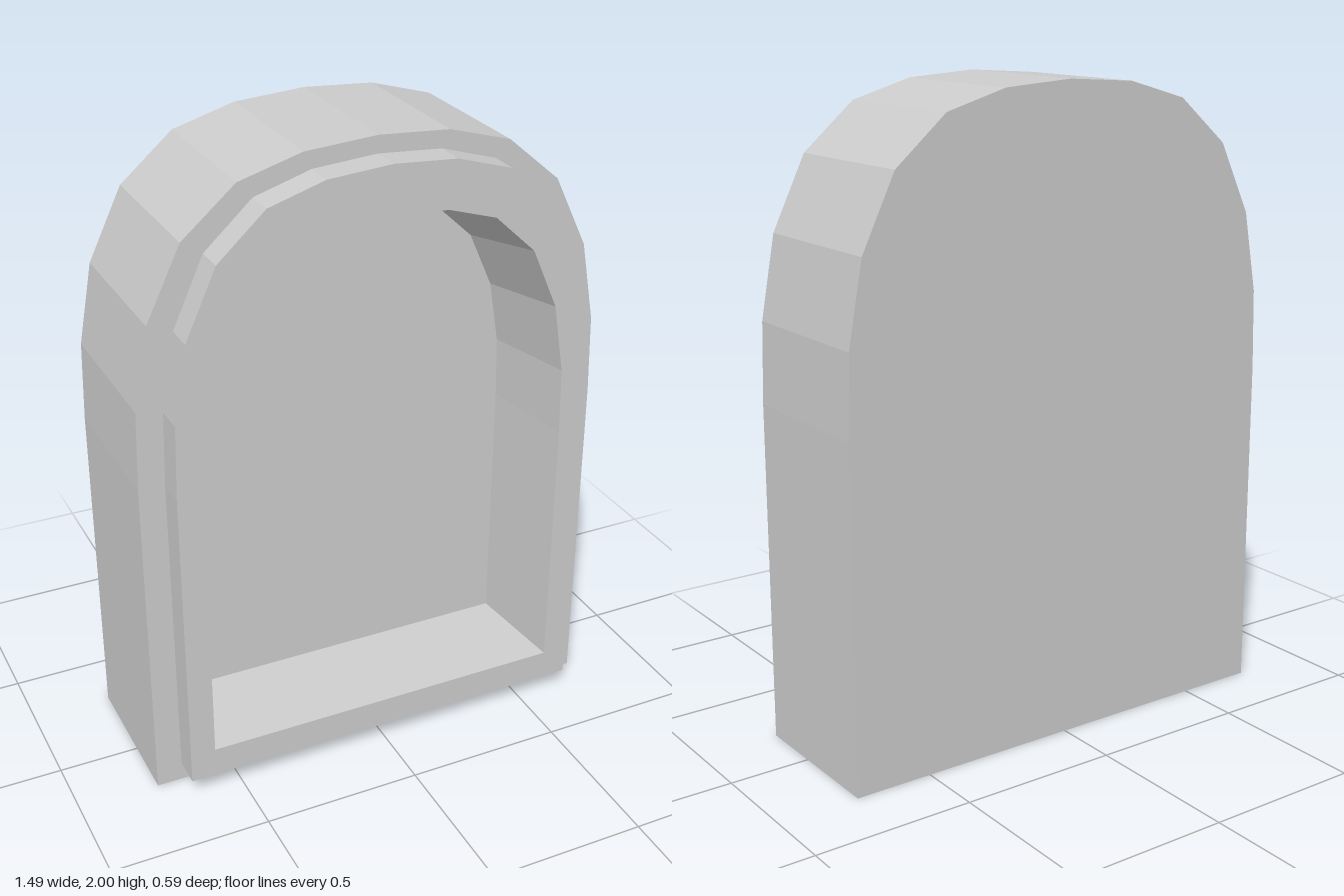
import * as THREE from 'three';

// Right half of the arch, as fractions of half width and rise
const ARCH = [[1, 0], [0.99, 0.266], [0.928, 0.535], [0.784, 0.772], [0.561, 0.924], [0.299, 0.984], [0, 1]];

// Closed arched outline, counter-clockwise seen from the front
function outline(halfWidth, bottom, top, rise) {
  const right = ARCH.map(([u, v]) => new THREE.Vector2(u * halfWidth, top - rise + v * rise));
  const left = right.slice(0, -1).reverse().map((p) => new THREE.Vector2(-p.x, p.y));
  return [new THREE.Vector2(halfWidth, bottom), ...right, ...left, new THREE.Vector2(-halfWidth, bottom)];
}

// Faceted skin through a list of [outline, z] rings
function loft(rings) {
  const positions = [];
  for (let r = 0; r < rings.length - 1; r++) {
    const [a, za] = rings[r], [b, zb] = rings[r + 1];
    for (let i = 0; i < a.length; i++) {
      const j = (i + 1) % a.length;
      const p = [a[i].x, a[i].y, za], q = [a[j].x, a[j].y, za];
      const s = [b[j].x, b[j].y, zb], t = [b[i].x, b[i].y, zb];
      positions.push(...p, ...q, ...s, ...p, ...s, ...t);
    }
  }
  const geometry = new THREE.BufferGeometry();
  geometry.setAttribute('position', new THREE.Float32BufferAttribute(positions, 3));
  geometry.computeVertexNormals();
  return geometry;
}

export function createModel() {
  const material = new THREE.MeshStandardMaterial({ color: 0xcccccc, flatShading: true });
  const group = new THREE.Group();
  const add = (name, geometry) => {
    const mesh = new THREE.Mesh(geometry, material);
    mesh.name = name;
    group.add(mesh);
    return mesh;
  };

  const BACK = -0.295, STEP = 0.2, FRONT = 0.295, FLOOR = -0.005;
  const outer = outline(0.747, 0, 2, 0.94);
  const rim = outline(0.666, 0.06, 1.947, 0.89);
  const opening = outline(0.587, 0.155, 1.8, 0.81);
  const panel = outline(0.534, 0.185, 1.732, 0.735);

  // Thick arched block with the step around the frame
  add('body', loft([[outer, BACK], [outer, STEP], [rim, STEP]]));
  const back = add('backFace', new THREE.ShapeGeometry(new THREE.Shape(outer)));
  back.rotation.y = Math.PI;
  back.position.z = BACK;

  // Raised frame around the opening
  add('frame', loft([[rim, STEP], [rim, FRONT], [opening, FRONT]]));

  // Tapered niche walls and its rear panel
  add('nicheWalls', loft([[opening, FRONT], [panel, FLOOR]]));
  add('nichePanel', new THREE.ShapeGeometry(new THREE.Shape(panel))).position.z = FLOOR;

  return group;
}
